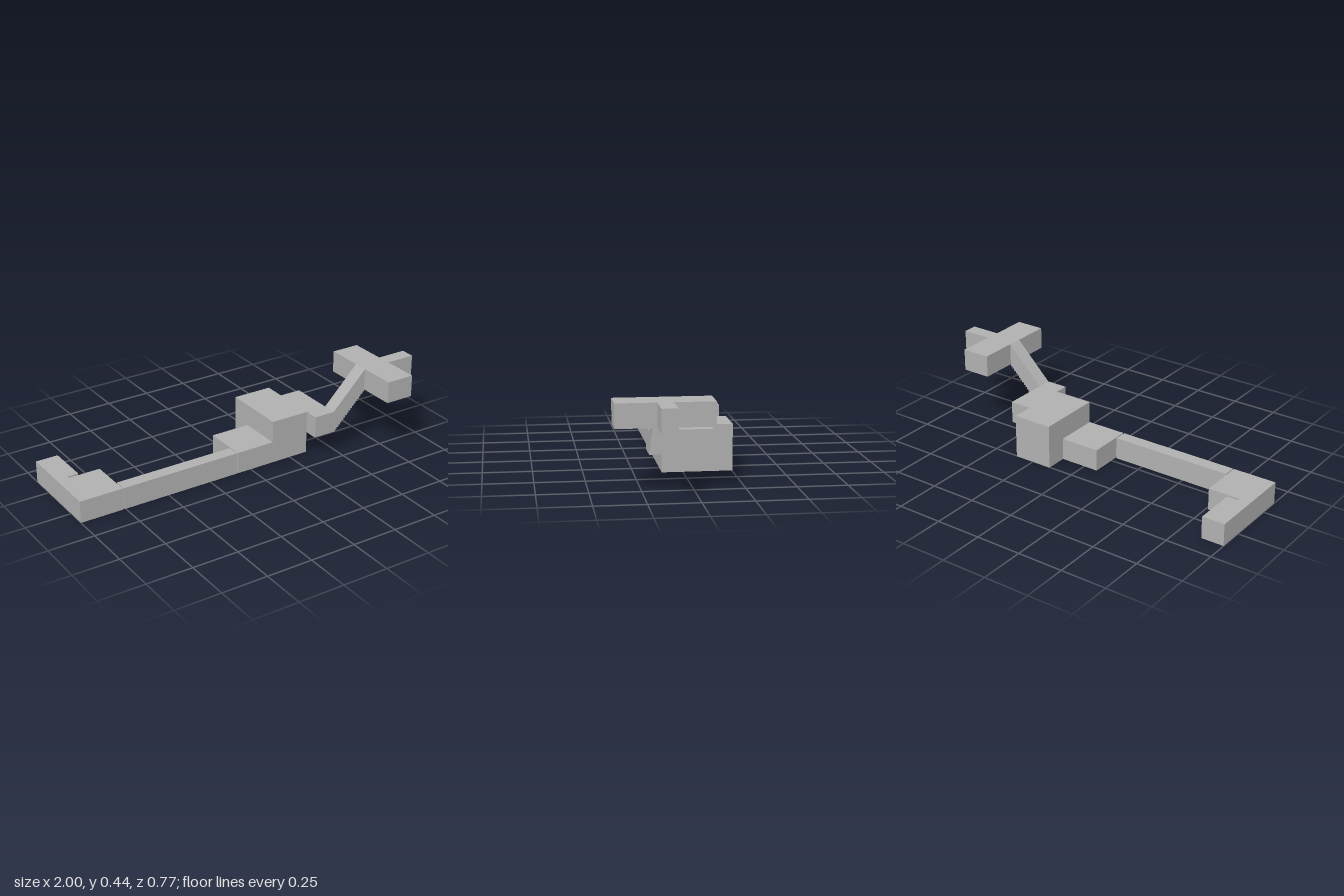
import * as THREE from 'three';

export function createModel() {
  const model = new THREE.Group();
  model.name = 'roomsAndCorridors';
  const stone = new THREE.MeshStandardMaterial({ color: 0xb0b0b0, name: 'stoneGrey' });
  stone.name = 'stone grey';

  // Box given by its minimum and maximum along each axis
  function block(name, [x0, x1], [y0, y1], [z0, z1]) {
    const mesh = new THREE.Mesh(new THREE.BoxGeometry(x1 - x0, y1 - y0, z1 - z0), stone);
    mesh.position.set((x0 + x1) / 2, (y0 + y1) / 2, (z0 + z1) / 2);
    mesh.name = name;
    model.add(mesh);
  }

  const low = [0, 0.12], mid = [0.12, 0.24], high = [0.32, 0.44];

  // Lower level: west room, its side wing and the long corridor
  block('westWing', [-1, -0.876], low, [-0.385, -0.153]);
  block('wingDoorway', [-1, -0.936], low, [-0.153, -0.137]);
  block('westRoom', [-1, -0.762], low, [-0.137, 0.107]);
  block('corridor', [-0.756, -0.087], low, [0.037, 0.107]);
  block('middleRoom', [-0.081, 0.139], low, [-0.135, 0.107]);

  // Slightly recessed joints at both ends of the corridor
  for (const x of [-0.759, -0.084]) {
    block('corridorDoorway', [x - 0.004, x + 0.004], [0.006, 0.114], [0.043, 0.101]);
  }

  // Tall hall and the landing raised beside it
  block('tallHall', [0.139, 0.358], [0, 0.24], [-0.253, 0.107]);
  block('landing', [0.358, 0.478], mid, [-0.135, 0.185]);

  // Stair passage: sloping roof with a finely stepped underside
  const x0 = 0.478, x1 = 0.677, y0 = 0.12, rise = 0.2, steps = 18;
  const side = new THREE.Shape();
  side.moveTo(x0, y0);
  for (let i = 1; i <= steps; i++) {
    const x = x0 + (x1 - x0) * i / steps;
    side.lineTo(x, y0 + rise * (i - 1) / steps);
    side.lineTo(x, y0 + rise * i / steps);
  }
  side.lineTo(x1, 0.44);
  side.lineTo(x0, 0.24);
  side.closePath();
  const stairs = new THREE.Mesh(
    new THREE.ExtrudeGeometry(side, { depth: 0.078, bevelEnabled: false }), stone);
  stairs.position.z = 0.107;
  stairs.name = 'stairPassage';
  model.add(stairs);

  // Upper level
  block('upperRoom', [0.677, 0.835], high, [-0.094, 0.385]);
  block('upperPassage', [0.835, 1], high, [0.107, 0.185]);

  return model;
}
